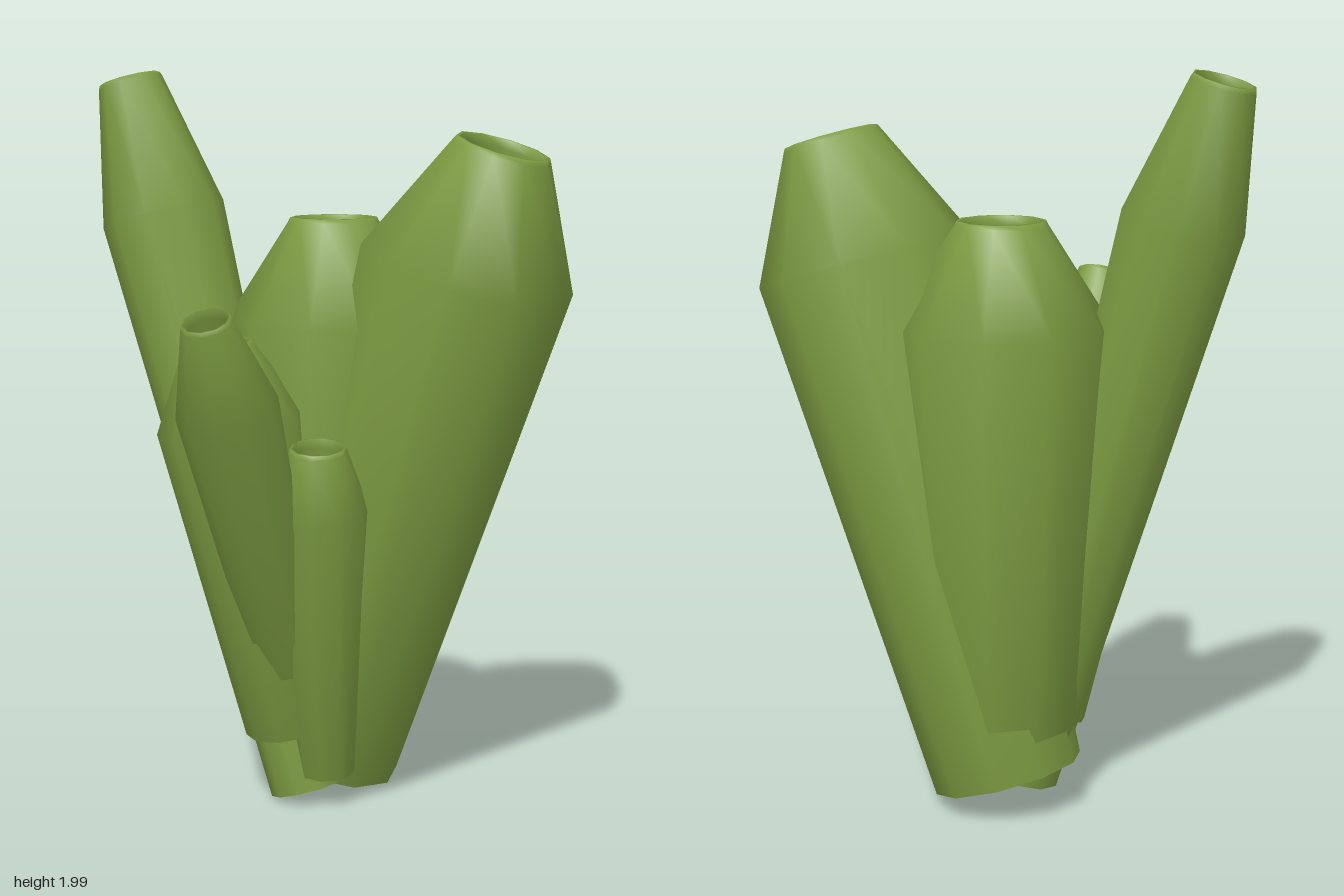
import * as THREE from 'three';

// Each tube: base centre, mouth centre, radii at base, shoulder and mouth
const TUBES = [
  { name: 'largeFrontTube', base: [0.13, 0.09, -0.075], top: [0.3, 1.805, 0.425], radii: [0.205, 0.295, 0.135] },
  { name: 'centreTube', base: [0.13, 0.15, -0.045], top: [0.13, 1.605, -0.05], radii: [0.2, 0.293, 0.125] },
  { name: 'tallBackTube', base: [-0.015, 0.035, 0.005], top: [-0.205, 1.975, -0.52], radii: [0.1, 0.17, 0.09] },
  { name: 'leaningSideTube', base: [0.02, 0.15, -0.03], top: [-0.5, 1.385, 0.175], radii: [0.08, 0.135, 0.068] },
  { name: 'smallFrontTube', base: [0.0, 0.1, 0.07], top: [-0.13, 1.025, 0.18], radii: [0.08, 0.132, 0.078] },
  { name: 'middleSideTube', base: [-0.05, 0.21, -0.03], top: [-0.26, 1.28, -0.08], radii: [0.12, 0.2, 0.1] },
];
const SIDES = 10;
const SHOULDER = 0.81; // height of the widest ring along the tube

// Closed base, swelling wall, narrow lip and a deep hollow
function tubeGeometry(length, [base, shoulder, mouth]) {
  const inner = mouth * 0.83;
  const profile = [
    [0, 0],
    [base, 0],
    [shoulder, length * SHOULDER],
    [mouth, length - 0.012],
    [mouth * 0.95, length],
    [inner * 1.04, length],
    [inner, length - 0.025],
    [inner * 0.95, length * 0.5],
    [0, length * 0.47],
  ].map(([r, y]) => new THREE.Vector2(r, y));
  return new THREE.LatheGeometry(profile, SIDES, Math.PI / 2);
}

export function createModel() {
  const group = new THREE.Group();
  group.name = 'tubeCluster';
  const green = new THREE.MeshStandardMaterial({ color: 0x7d9c42 });
  green.name = 'mossGreen';

  const up = new THREE.Vector3(0, 1, 0);
  for (const { name, base, top, radii } of TUBES) {
    const start = new THREE.Vector3(...base);
    const axis = new THREE.Vector3(...top).sub(start);
    const mesh = new THREE.Mesh(tubeGeometry(axis.length(), radii), green);
    mesh.name = name;
    mesh.position.copy(start);
    mesh.quaternion.setFromUnitVectors(up, axis.normalize());
    group.add(mesh);
  }
  return group;
}
